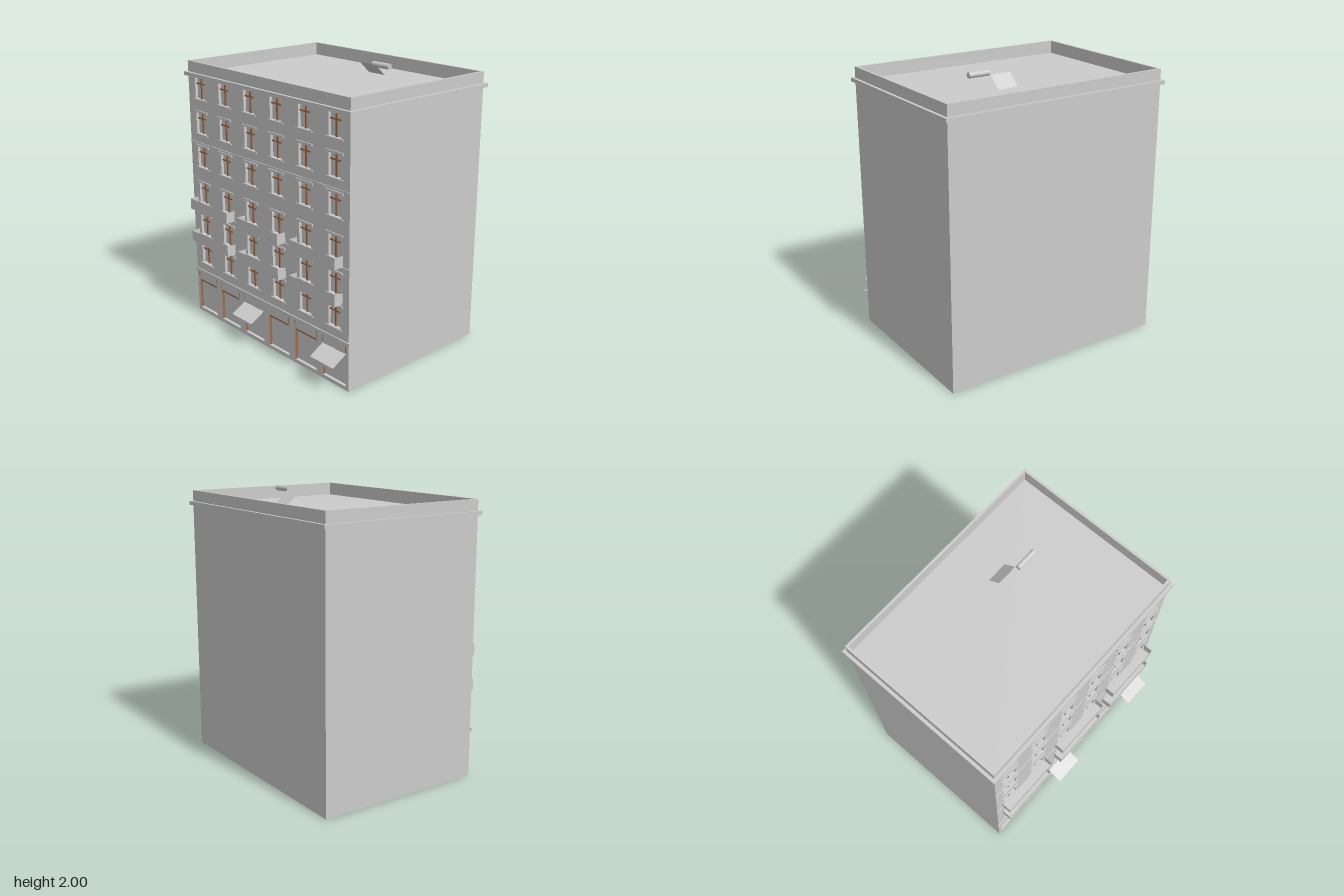
import * as THREE from 'three';

const stone = new THREE.MeshStandardMaterial({ color: 0xcccccc, side: THREE.DoubleSide });
stone.name = 'stone grey';
const wood = new THREE.MeshStandardMaterial({ color: 0xa06a48, side: THREE.DoubleSide });
wood.name = 'wood brown';

// Main dimensions
const HX = 0.845, ZF = 0.57, ZB = -0.663, TOP = 1.953, DECK = 1.86;
const COLUMNS = [0, 1, 2, 3, 4, 5].map((i) => (i - 2.5) * 0.2832);
const ROWS = [0.421, 0.652, 0.902, 1.18, 1.434, 1.688];
const WIN_W = 0.115, WIN_H = 0.152, WIN_D = 0.022;
const SHOP_W = 0.218, SHOP_Y0 = 0.028, SHOP_Y1 = 0.266, SHOP_D = 0.022;

// Box from its min and max corners; faces listed in skip (px nx py ny pz nz = 0..5) are left open
function box(parent, name, material, [x0, y0, z0], [x1, y1, z1], skip = []) {
  const g = new THREE.BoxGeometry(x1 - x0, y1 - y0, z1 - z0);
  if (skip.length) {
    const index = Array.from(g.index.array);
    g.setIndex(index.filter((_, i) => !skip.includes(Math.floor(i / 6))));
    g.clearGroups();
  }
  g.translate((x0 + x1) / 2, (y0 + y1) / 2, (z0 + z1) / 2);
  const mesh = new THREE.Mesh(g, material);
  mesh.name = name;
  parent.add(mesh);
}

// Box fixed to a surface behind it, so its back face is left out
function mounted(parent, name, material, min, max) {
  box(parent, name, material, min, max, [5]);
}

function rectangle(target, x0, y0, x1, y1) {
  target.moveTo(x0, y0);
  target.lineTo(x1, y0);
  target.lineTo(x1, y1);
  target.lineTo(x0, y1);
  target.closePath();
  return target;
}

// Rectangular ring around the building: out and inn are offsets from the wall faces
function ring(parent, name, out, inn, y0, y1) {
  const shape = rectangle(new THREE.Shape(), -HX - out, -ZF - out, HX + out, -ZB + out);
  shape.holes.push(rectangle(new THREE.Path(), -HX + inn, -ZF + inn, HX - inn, -ZB - inn));
  const g = new THREE.ExtrudeGeometry(shape, { depth: y1 - y0, bevelEnabled: false });
  g.rotateX(-Math.PI / 2).translate(0, y0, 0);
  const mesh = new THREE.Mesh(g, stone);
  mesh.name = name;
  parent.add(mesh);
}

// Flat sheet spanned along x through a (y, z) path
function sheet(parent, name, x0, x1, path) {
  const pos = [], index = [];
  for (let i = 0; i < path.length - 1; i++) {
    const [ya, za] = path[i], [yb, zb] = path[i + 1], k = i * 4;
    pos.push(x0, ya, za, x0, yb, zb, x1, yb, zb, x1, ya, za);
    index.push(k, k + 1, k + 2, k, k + 2, k + 3);
  }
  const g = new THREE.BufferGeometry();
  g.setAttribute('position', new THREE.Float32BufferAttribute(pos, 3));
  g.setIndex(index);
  g.computeVertexNormals();
  const mesh = new THREE.Mesh(g, stone);
  mesh.name = name;
  parent.add(mesh);
}

function buildWindow(parent, x, y, hasLintel) {
  const win = new THREE.Group();
  win.name = 'window';
  const h = WIN_W / 2, zp = ZF - WIN_D, top = y + WIN_H;
  box(win, 'windowRecess', stone, [x - h, y, zp], [x + h, top, ZF], [4]);
  // Glazing bars stand just clear of the pane
  mounted(win, 'mullion', wood, [x - 0.006, y, zp + 0.001], [x + 0.006, top, zp + 0.01]);
  mounted(win, 'transom', wood, [x - h, y + 0.104, zp + 0.001], [x + h, y + 0.115, zp + 0.009]);
  mounted(win, 'sill', stone, [x - 0.08, y - 0.011, ZF], [x + 0.08, y - 0.001, ZF + 0.007]);
  if (hasLintel) {
    mounted(win, 'lintel', stone, [x - 0.08, top + 0.006, ZF], [x + 0.08, top + 0.018, ZF + 0.008]);
    for (const s of [-1, 1]) {
      const xe = x + s * 0.074;
      mounted(win, 'lintelEnd', stone, [xe - 0.005, top, ZF], [xe + 0.005, top + 0.006, ZF + 0.006]);
    }
  }
  parent.add(win);
}

function buildShop(parent, x) {
  const shop = new THREE.Group();
  shop.name = 'shopFront';
  const h = SHOP_W / 2, zp = ZF - SHOP_D;
  box(shop, 'shopRecess', stone, [x - h, SHOP_Y0, zp], [x + h, SHOP_Y1, ZF], [0, 1, 4]);
  box(shop, 'shopJambs', wood, [x - h, SHOP_Y0, zp], [x + h, SHOP_Y1, ZF], [2, 3, 4, 5]);
  mounted(shop, 'shopHead', wood, [x - h, SHOP_Y1 - 0.015, zp + 0.001], [x + h, SHOP_Y1 - 0.001, ZF - 0.004]);
  // Slim uprights above the sides of the opening, none beside the centre line
  for (const xu of [x - h, x + h]) {
    if (Math.abs(xu) < 0.1) continue;
    mounted(shop, 'signUpright', wood, [xu - 0.002, 0.275, ZF], [xu + 0.002, 0.325, ZF + 0.003]);
  }
  parent.add(shop);
}

export function createModel() {
  const model = new THREE.Group();
  model.name = 'apartmentBuilding';

  // Back and side walls, open at the bottom
  box(model, 'sideAndBackWalls', stone, [-HX, 0, ZB], [HX, DECK, ZF], [2, 3, 4]);

  // Front wall with window and shop openings
  const front = rectangle(new THREE.Shape(), -HX, 0, HX, DECK);
  for (const x of COLUMNS) {
    front.holes.push(rectangle(new THREE.Path(), x - SHOP_W / 2, SHOP_Y0, x + SHOP_W / 2, SHOP_Y1));
    for (const y of ROWS) {
      front.holes.push(rectangle(new THREE.Path(), x - WIN_W / 2, y, x + WIN_W / 2, y + WIN_H));
    }
  }
  const frontWall = new THREE.Mesh(new THREE.ShapeGeometry(front).translate(0, 0, ZF), stone);
  frontWall.name = 'frontWall';
  model.add(frontWall);

  for (const x of COLUMNS) {
    buildShop(model, x);
    ROWS.forEach((y, i) => buildWindow(model, x, y, i < ROWS.length - 1));
  }

  // Roof deck, parapet and cornice
  const deck = new THREE.PlaneGeometry(2 * HX, ZF - ZB).rotateX(-Math.PI / 2);
  deck.translate(0, DECK, (ZF + ZB) / 2);
  const roof = new THREE.Mesh(deck, stone);
  roof.name = 'roofDeck';
  model.add(roof);
  ring(model, 'parapet', 0, 0.018, DECK, TOP);
  ring(model, 'cornice', 0.022, 0, 1.847, 1.874);

  // String courses across the front
  mounted(model, 'shopCornice', stone, [-0.855, 0.333, ZF], [0.855, 0.353, ZF + 0.008]);
  for (const y of [0.86, 1.365]) {
    mounted(model, 'stringCourse', stone, [-0.849, y - 0.002, ZF], [0.849, y + 0.002, ZF + 0.006]);
  }

  // Balconies: open-topped trays against the wall
  for (const y of [0.607, 0.861]) {
    for (const x of [-0.5665, 0, 0.5635]) {
      box(model, 'balcony', stone, [x - 0.222, y, ZF], [x + 0.222, y + 0.079, 0.64], [2, 5]);
    }
  }

  // Two sloping awnings with a short valance
  for (const i of [2, 5]) {
    const x = COLUMNS[i];
    sheet(model, 'awning', x - 0.112, x + 0.112, [[0.265, ZF], [0.202, 0.683], [0.185, 0.683]]);
  }

  // Loose roller and sheet on the roof
  const roller = new THREE.Mesh(new THREE.CylinderGeometry(0.02, 0.02, 0.155, 10), stone);
  roller.name = 'roofRoller';
  roller.rotation.z = Math.PI / 2;
  roller.position.set(0.333, 1.98, -0.205);
  model.add(roller);
  sheet(model, 'roofSheet', 0.1, 0.253, [[1.888, -0.318], [1.97, -0.228]]);

  return model;
}
